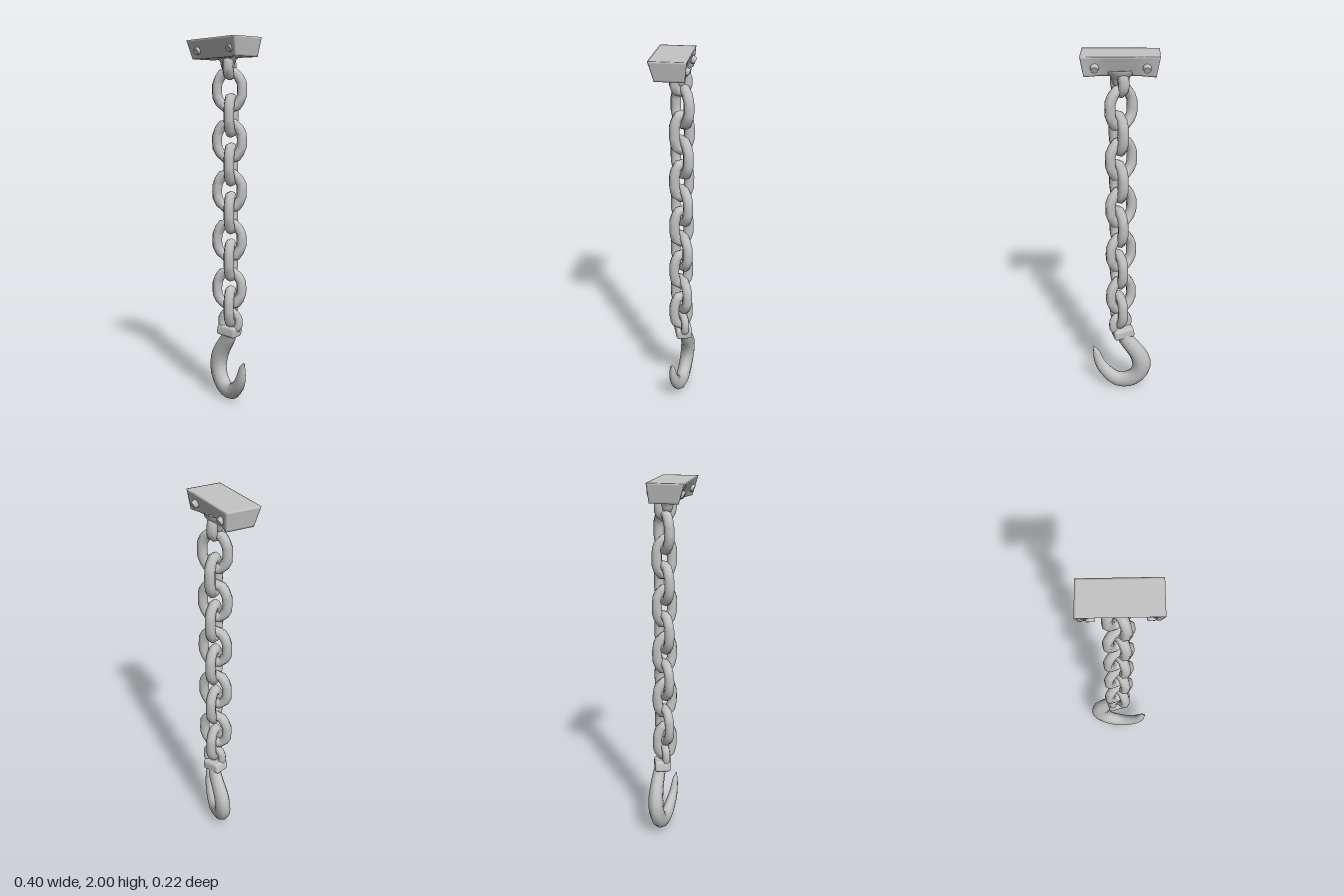
import * as THREE from 'three';
import { RoundedBoxGeometry } from 'three/addons/geometries/RoundedBoxGeometry.js';
import { mergeVertices } from 'three/addons/utils/BufferGeometryUtils.js';

const steel = new THREE.MeshStandardMaterial({ color: 0xc4c4c4 });
steel.name = 'grey steel';
const AXIS_Z = -0.037; // depth at which the chain hangs

function add(parent, name, geometry, x = 0, y = 0, z = 0) {
  const mesh = new THREE.Mesh(geometry, steel);
  mesh.name = name;
  mesh.position.set(x, y, z);
  parent.add(mesh);
  return mesh;
}

// Reshape a box by a rule on its vertices, with smooth normals
function reshape(source, rule) {
  source.deleteAttribute('normal');
  source.deleteAttribute('uv');
  const g = mergeVertices(source, 1e-5);
  const p = g.attributes.position;
  const v = new THREE.Vector3();
  for (let i = 0; i < p.count; i++) {
    rule(v.fromBufferAttribute(p, i));
    p.setXYZ(i, v.x, v.y, v.z);
  }
  g.computeVertexNormals();
  return g;
}

// Chunky eight-cornered chain link with outer size w x h
function linkGeometry(w, h, t) {
  const a = (w - t) / 2, b = (h - t) / 2;
  const corners = [[1, 0.42], [0.5, 1], [-0.5, 1], [-1, 0.42], [-1, -0.42], [-0.5, -1], [0.5, -1], [1, -0.42]];
  const path = new THREE.CatmullRomCurve3(
    corners.map(([x, y]) => new THREE.Vector3(x * a, y * b, 0)), true, 'catmullrom', 0.2);
  return new THREE.TubeGeometry(path, 16, t / 2, 8, true);
}

// Tapering sweep; each station is [x, y, z, radius], flattened in depth
function taperedSweep(stations, steps, sides, flatten) {
  const centre = new THREE.CatmullRomCurve3(stations.map(([x, y, z]) => new THREE.Vector3(x, y, z)));
  const radius = new THREE.CatmullRomCurve3(stations.map((s, i) => new THREE.Vector3(i, s[3], 0)));
  const pos = [], index = [];
  for (let i = 0; i <= steps; i++) {
    const c = centre.getPoint(i / steps), t = centre.getTangent(i / steps);
    const r = radius.getPoint(i / steps).y, len = Math.hypot(t.x, t.y);
    for (let j = 0; j < sides; j++) {
      const a = (j / sides) * Math.PI * 2, n = r * Math.cos(a);
      pos.push(c.x - (t.y / len) * n, c.y + (t.x / len) * n, c.z + flatten * r * Math.sin(a));
      if (i < steps) {
        const k = i * sides, j2 = (j + 1) % sides;
        index.push(k + j, k + j2, k + sides + j2, k + j, k + sides + j2, k + sides + j);
      }
    }
  }
  const g = new THREE.BufferGeometry();
  g.setAttribute('position', new THREE.Float32BufferAttribute(pos, 3));
  g.setIndex(index);
  g.computeVertexNormals();
  return g;
}

// Pull the second row of a box grid out to the rim, to keep the edge crisp
function tighten(value, half, segments) {
  const row = half * (1 - 2 / segments);
  return Math.abs(Math.abs(value) - row) < 1e-4 ? Math.sign(value) * (half - 0.01) : value;
}

export function createModel() {
  const model = new THREE.Group();
  model.name = 'hangingHook';

  // Ceiling mount: slab narrowing downwards, slightly skewed, waisted between its ends
  const mount = new THREE.Group();
  mount.name = 'ceilingMount';
  model.add(mount);
  add(mount, 'mountPlate', reshape(new THREE.BoxGeometry(0.39, 0.1, 0.188, 10, 5, 4), (v) => {
    const x = tighten(v.x, 0.195, 10), z = tighten(v.z, 0.094, 4);
    v.y = tighten(v.y, 0.05, 5);
    const down = 0.5 - v.y / 0.1;
    const waist = 1 - THREE.MathUtils.smoothstep(Math.abs(x), 0.09, 0.19);
    v.x = (x - 0.05 * z) * (1 - 0.09 * down);
    v.z = z * (1 - 0.21 * down - 0.25 * waist * down) + 0.04 * x - 0.009 * down;
  }), 0, 1.95, 0.011);

  // Bolt heads on the sloping front and back
  const boltShape = new THREE.CylinderGeometry(0.018, 0.024, 0.03, 8).rotateX(Math.PI / 2);
  for (const side of [-1, 1]) {
    add(mount, 'frontBolt', boltShape, side * 0.132, 1.942, 0.08 + side * 0.005).rotation.x = 0.4;
    const back = add(mount, 'backBolt', boltShape, side * 0.128, 1.942, -0.074 + side * 0.005);
    back.rotation.set(0.4, Math.PI, 0, 'YXZ');
  }

  // Flared boss and the ring below it
  const flare = [[0, 1.83], [0.03, 1.835], [0.041, 1.86], [0.046, 1.885], [0.072, 1.908], [0.075, 1.93]]
    .map(([r, y]) => new THREE.Vector2(r, y));
  const boss = add(mount, 'mountBoss', new THREE.LatheGeometry(flare, 12), 0, 0, -0.022);
  boss.scale.z = 0.8;
  add(mount, 'mountRing', linkGeometry(0.125, 0.15, 0.058), 0.005, 1.862, -0.03).rotation.y = -1;

  // Chain of alternating broad and narrow links
  const chain = new THREE.Group();
  chain.name = 'chain';
  model.add(chain);
  const broad = linkGeometry(0.19, 0.235, 0.056);
  const narrow = linkGeometry(0.142, 0.235, 0.058);
  for (let i = 0; i < 5; i++) {
    add(chain, 'broadLink', broad, -0.002, 1.735 - i * 0.272, AXIS_Z).rotation.y = 0.6;
    add(chain, 'narrowLink', narrow, 0.01, 1.6 - i * 0.264, AXIS_Z).rotation.y = -1.03;
  }

  // Hook with its eye and collar
  const hook = new THREE.Group();
  hook.name = 'hook';
  model.add(hook);
  add(hook, 'hookEye', linkGeometry(0.14, 0.15, 0.046), 0.002, 0.457, -0.042).rotation.y = 0.5;
  const collar = add(hook, 'hookCollar', reshape(new RoundedBoxGeometry(0.122, 0.062, 0.092, 2, 0.016), (v) => {
    v.x *= 0.96 - 1.3 * v.y;
  }), -0.012, 0.404, -0.047);
  collar.rotation.set(0, 0.25, -0.13);
  add(hook, 'hookBody', taperedSweep([
    [-0.02, 0.395, -0.058, 0.042],
    [-0.034, 0.355, -0.063, 0.045],
    [-0.07, 0.305, -0.067, 0.048],
    [-0.11, 0.24, -0.068, 0.053],
    [-0.122, 0.165, -0.064, 0.054],
    [-0.094, 0.098, -0.055, 0.052],
    [-0.04, 0.058, -0.045, 0.05],
    [0.022, 0.054, -0.033, 0.046],
    [0.075, 0.09, -0.02, 0.04],
    [0.115, 0.14, -0.009, 0.034],
    [0.134, 0.19, -0.003, 0.026],
    [0.143, 0.228, 0, 0.019],
    [0.161, 0.262, 0.004, 0.003],
  ], 24, 10, 0.78), 0, 0, 0);

  return model;
}
